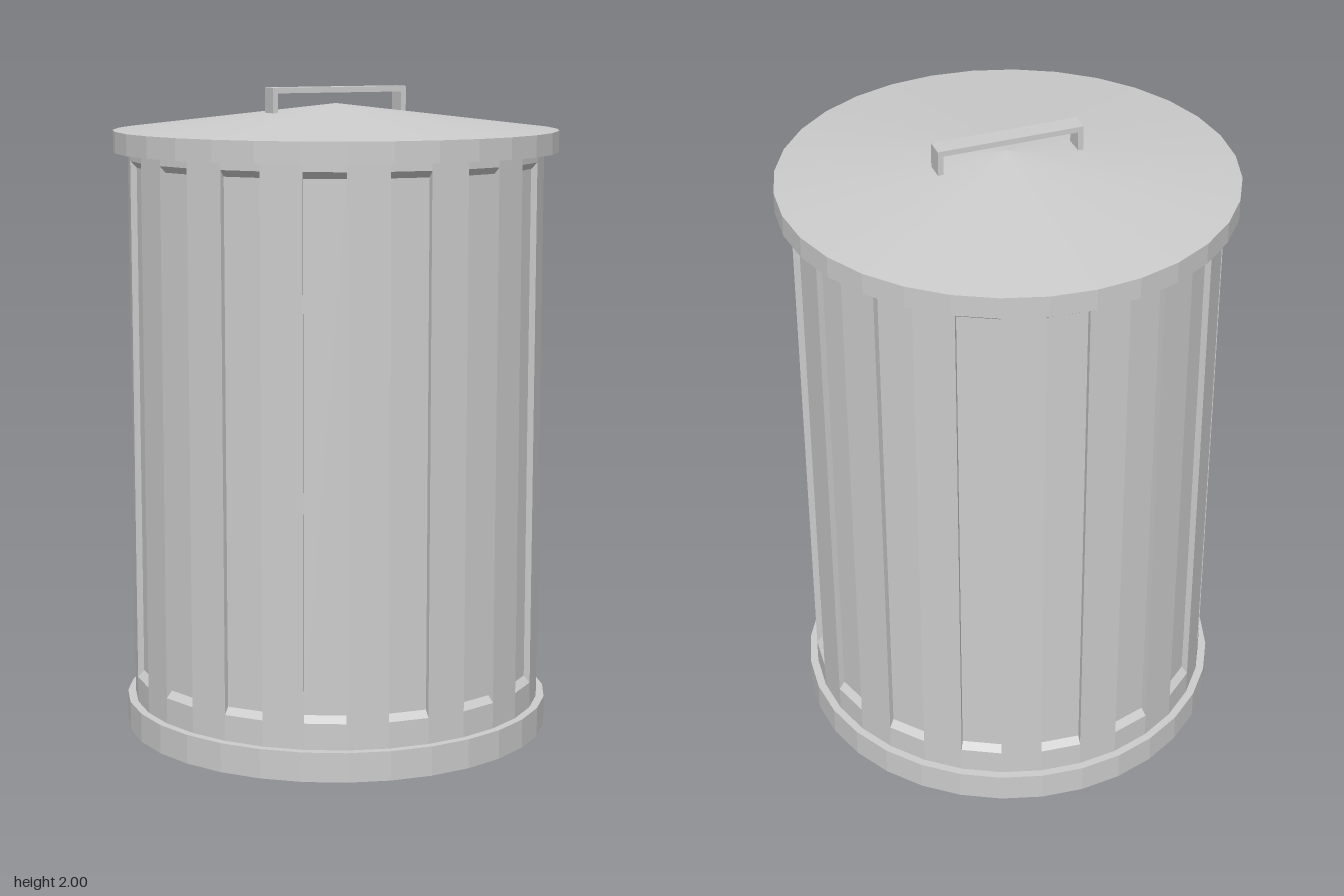
import * as THREE from 'three';

const SIDES = 32;
const material = new THREE.MeshStandardMaterial({ color: 0xcccccc, flatShading: true });

function addMesh(parent, name, geometry, x = 0, y = 0, z = 0) {
  const mesh = new THREE.Mesh(geometry, material);
  mesh.name = name;
  mesh.position.set(x, y, z);
  parent.add(mesh);
  return mesh;
}

// Faceted wall in which every second facet is a recessed panel
function ribbedWall(radius, y0, y1, panelY0, panelY1, depth, bevel) {
  const positions = [];
  const quad = (a, b, c, d) => {
    for (const p of [a, b, c, a, c, d]) positions.push(p.x, p.y, p.z);
  };
  const step = (Math.PI * 2) / SIDES;
  for (let k = 0; k < SIDES; k++) {
    const at = (i, y) => new THREE.Vector3(radius * Math.sin(i * step), y, radius * Math.cos(i * step));
    const facet = (a, b) => quad(at(k, a), at(k + 1, a), at(k + 1, b), at(k, b));
    if (k % 2 === 0) {
      facet(y0, y1);
      continue;
    }
    facet(y0, panelY0);
    facet(panelY1, y1);
    // Recess: outer opening, inner floor and the four walls between them
    const mid = (k + 0.5) * step;
    const inward = new THREE.Vector3(-depth * Math.sin(mid), 0, -depth * Math.cos(mid));
    const outer = [at(k, panelY0), at(k + 1, panelY0), at(k + 1, panelY1), at(k, panelY1)];
    const inner = outer.map((p, i) => {
      const q = p.clone().add(inward);
      q.y += i < 2 ? bevel : -bevel;
      return q;
    });
    quad(...inner);
    for (let i = 0; i < 4; i++) {
      const j = (i + 1) % 4;
      quad(outer[i], outer[j], inner[j], inner[i]);
    }
  }
  const geometry = new THREE.BufferGeometry();
  geometry.setAttribute('position', new THREE.Float32BufferAttribute(positions, 3));
  geometry.computeVertexNormals();
  return geometry;
}

export function createModel() {
  const model = new THREE.Group();
  model.name = 'trashCan';

  // Can
  addMesh(model, 'base', new THREE.CylinderGeometry(0.665, 0.665, 0.09, SIDES), 0, 0.045, 0);
  addMesh(model, 'body', ribbedWall(0.64, 0.09, 1.805, 0.17, 1.782, 0.02, 0.02));

  // Lid: straight rim with a shallow cone on top
  const lid = new THREE.Group();
  lid.name = 'lid';
  model.add(lid);
  const lidProfile = [[0, 1.805], [0.685, 1.805], [0.685, 1.87], [0, 1.95]];
  addMesh(lid, 'lidCover', new THREE.LatheGeometry(lidProfile.map(([r, y]) => new THREE.Vector2(r, y)), SIDES));

  // Handle: flat strap bent down at both ends
  const handle = new THREE.Group();
  handle.name = 'handle';
  lid.add(handle);
  addMesh(handle, 'handleGrip', new THREE.BoxGeometry(0.45, 0.017, 0.06), 0, 1.9915, 0);
  for (const side of [-1, 1]) {
    addMesh(handle, side > 0 ? 'handleLegLeft' : 'handleLegRight',
      new THREE.BoxGeometry(0.017, 0.063, 0.06), side * 0.2165, 1.9515, 0);
  }
  return model;
}
